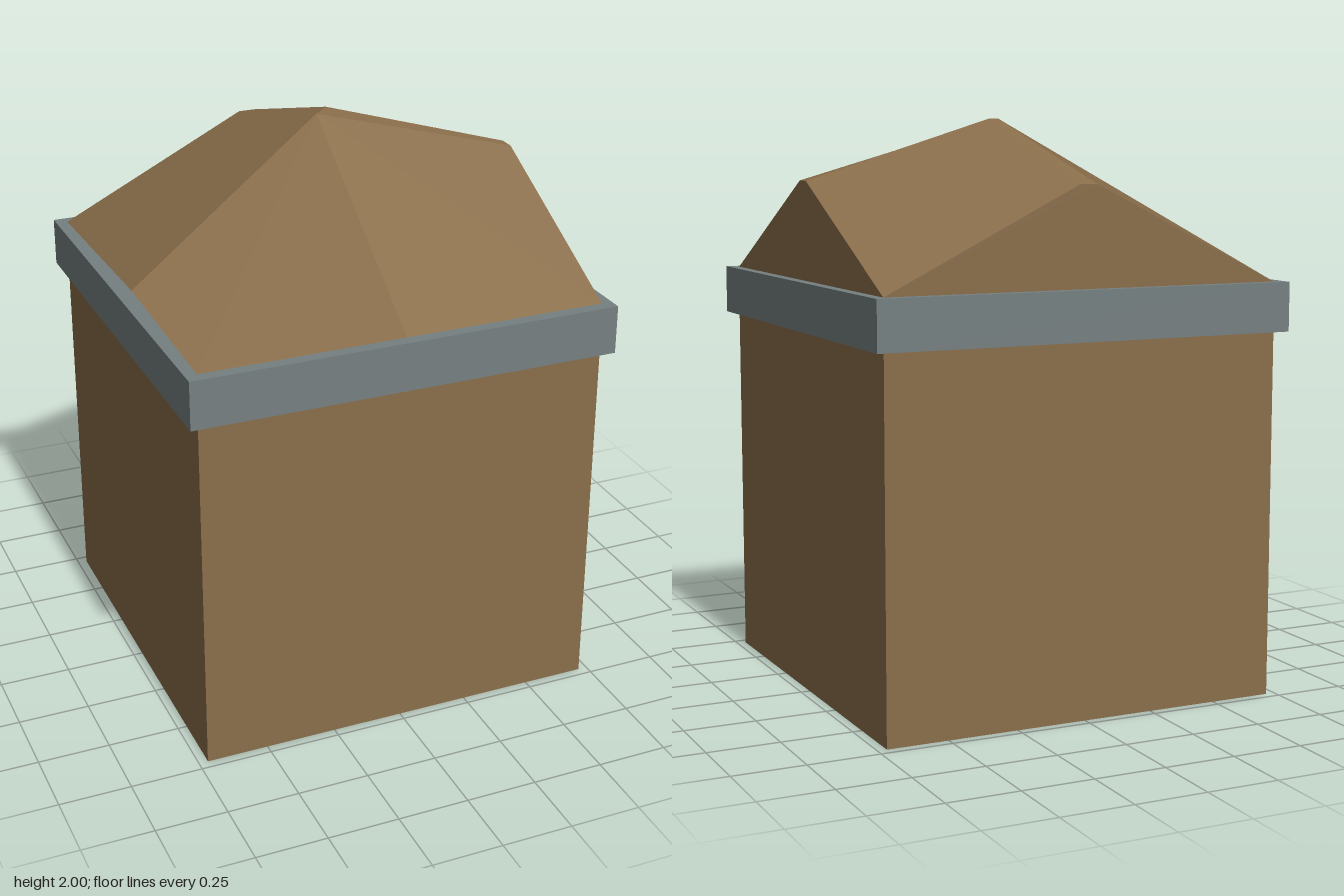
import * as THREE from 'three';

const brown = new THREE.MeshStandardMaterial({ color: 0x8a6e4b });
brown.name = 'brown';
const grey = new THREE.MeshStandardMaterial({ color: 0x768081 });
grey.name = 'grey';

// Quads fanned from their first corner, each with a single shared normal
function quadGeometry(quads) {
  const positions = [], normals = [], index = [];
  for (const [a, b, c, d] of quads) {
    const base = positions.length / 3;
    const n = new THREE.Vector3().subVectors(c, a)
      .cross(new THREE.Vector3().subVectors(d, b)).normalize();
    for (const p of [a, b, c, d]) {
      positions.push(p.x, p.y, p.z);
      normals.push(n.x, n.y, n.z);
    }
    index.push(base, base + 1, base + 2, base, base + 2, base + 3);
  }
  const g = new THREE.BufferGeometry();
  g.setAttribute('position', new THREE.Float32BufferAttribute(positions, 3));
  g.setAttribute('normal', new THREE.Float32BufferAttribute(normals, 3));
  g.setIndex(index);
  return g;
}

export function createModel() {
  const model = new THREE.Group();
  model.name = 'roofCornerBlock';

  const half = 0.718, eave = 1.45, gable = 1.79, top = 2, w = 0.03;
  const add = (name, geometry, material, y = 0) => {
    const mesh = new THREE.Mesh(geometry, material);
    mesh.name = name;
    mesh.position.y = y;
    model.add(mesh);
  };

  // Square body and the band under the roof
  add('body', new THREE.BoxGeometry(half * 2, 1.28, half * 2), brown, 0.64);
  add('band', new THREE.BoxGeometry(1.51, 0.17, 1.51), grey, 1.365);

  // Roof corners: peak, ridge ends, eave corners and eave middles
  const v = (x, y, z) => new THREE.Vector3(x, y, z);
  const peakFront = v(-w, top, w), peakBack = v(w, top, -w);
  const sideFront = v(half, gable, w), sideBack = v(half, gable, -w);
  const backRight = v(-w, gable, -half), backLeft = v(w, gable, -half);
  const fl = v(half, eave, 0.712), fr = v(-0.714, eave, 0.712);
  const bl = v(half, eave, -half), br = v(-0.714, eave, -half);
  const frontMid = v(0, eave, 0.712), rightMid = v(-0.697, eave, 0);

  // Four slopes turning around the corner
  add('roofSlopes', quadGeometry([
    [peakFront, frontMid, fl, sideFront],
    [peakFront, rightMid, fr, frontMid],
    [peakFront, backRight, br, rightMid],
    [peakBack, sideBack, bl, backLeft],
  ]), brown);

  // Narrow ridge strips
  add('ridges', quadGeometry([
    [peakFront, sideFront, sideBack, peakBack],
    [peakFront, peakBack, backLeft, backRight],
  ]), brown);

  // Upright gable ends
  add('gables', quadGeometry([
    [fl, bl, sideBack, sideFront],
    [bl, br, backRight, backLeft],
  ]), brown);

  return model;
}
